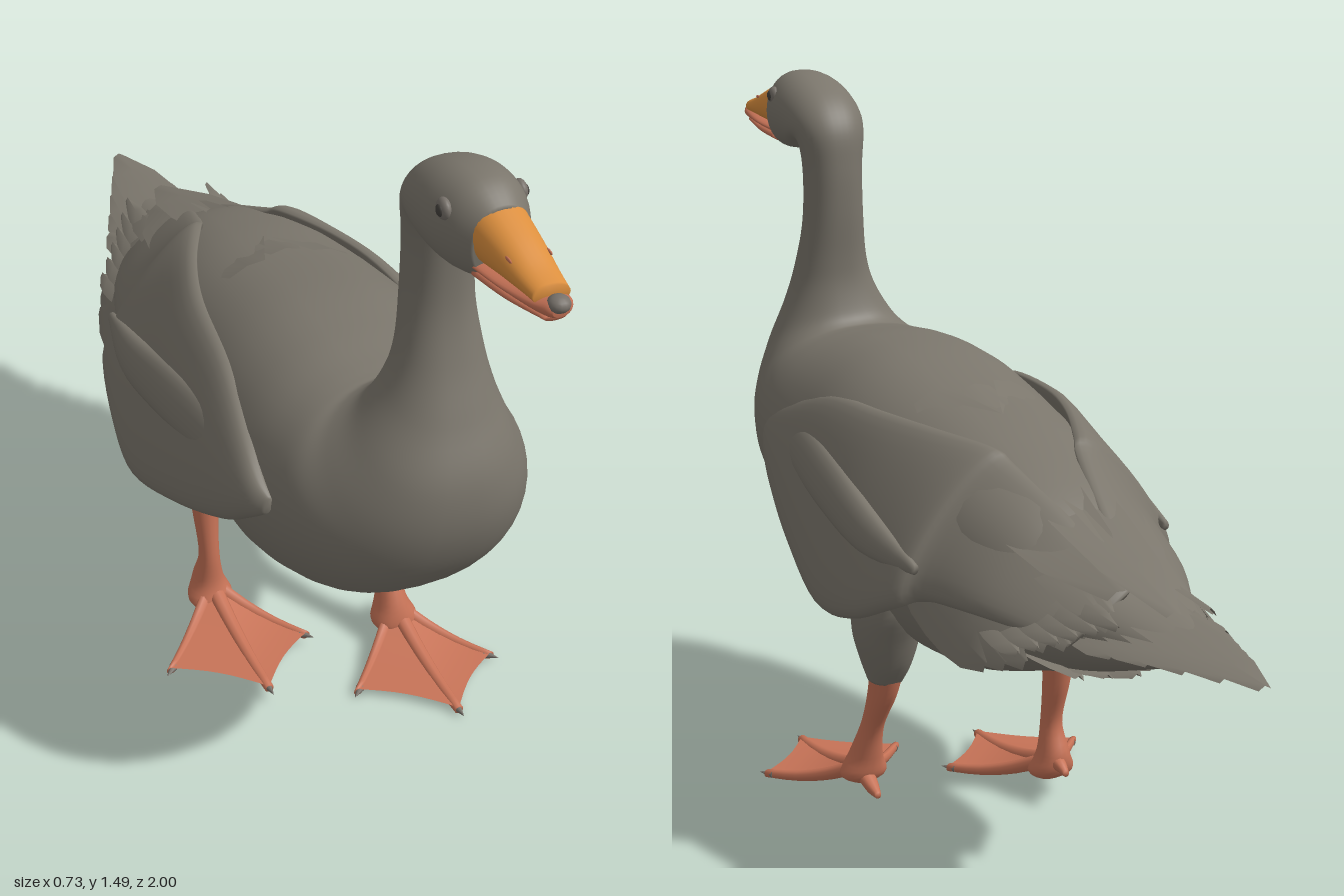
import * as THREE from 'three';

const mat = (name, color, side = THREE.FrontSide) => {
  const m = new THREE.MeshStandardMaterial({ color, side });
  m.name = name;
  return m;
};

const catmull = (a, b, c, d, t) =>
  0.5 * (2 * b + (c - a) * t + (2 * a - 5 * b + 4 * c - d) * t * t + (3 * b - a - 3 * c + d) * t * t * t);

function buildGeometry(pos, idx) {
  const g = new THREE.BufferGeometry();
  g.setAttribute('position', new THREE.Float32BufferAttribute(pos, 3));
  g.setIndex(idx);
  g.computeVertexNormals();
  return g;
}

// Smooth closed loft. Section: top xyz, bottom xyz, half width, inner half factor.
function loft(sections, { sides = 28, sub = 5, mirror = 1 } = {}) {
  const rows = [];
  const last = sections.length - 1;
  for (let i = 0; i < last; i++) {
    const [a, b, c, d] = [-1, 0, 1, 2].map(k => sections[Math.min(last, Math.max(0, i + k))]);
    for (let j = 0; j < sub; j++) rows.push(b.map((v, k) => catmull(a[k], v, c[k], d[k], j / sub)));
  }
  rows.push(sections[last]);
  const pos = [], idx = [];
  const tri = (a, b, c) => (mirror > 0 ? idx.push(a, b, c) : idx.push(a, c, b));
  for (const [xt, yt, zt, xb, yb, zb, w, inner] of rows) {
    const dx = xt - xb, dy = yt - yb, len = Math.hypot(dx, dy);
    const [sx, sy] = Math.abs(dx) < 1e-9 ? [1, 0] : [dy / len, -dx / len];
    for (let k = 0; k < sides; k++) {
      const a = (k / sides) * Math.PI * 2, c = Math.cos(a) / 2, sin = Math.sin(a);
      const s = Math.sign(sin) * Math.abs(sin) ** 0.86 * w * (sin < 0 ? inner : 1);
      pos.push(mirror * ((xt + xb) / 2 + dx * c + sx * s), (yt + yb) / 2 + dy * c + sy * s,
        (zt + zb) / 2 + (zt - zb) * c);
    }
  }
  const n = rows.length;
  for (let r = 0; r < n - 1; r++) for (let k = 0; k < sides; k++) {
    const a = r * sides + k, b = r * sides + (k + 1) % sides;
    tri(a, a + sides, b);
    tri(b, a + sides, b + sides);
  }
  for (const r of [0, n - 1]) {
    const [xt, yt, zt, xb, yb, zb] = rows[r], centre = pos.length / 3;
    pos.push(mirror * (xt + xb) / 2, (yt + yb) / 2, (zt + zb) / 2);
    for (let k = 0; k < sides; k++) {
      const a = r * sides + k, b = r * sides + (k + 1) % sides;
      r ? tri(centre, a, b) : tri(centre, b, a);
    }
  }
  // Caps wind outward: the first ring faces back, the last faces forward
  for (let i = idx.length - sides * 6; i < idx.length; i += 3) [idx[i + 1], idx[i + 2]] = [idx[i + 2], idx[i + 1]];
  return buildGeometry(pos, idx);
}

// Section helpers: profile slice, upright limb, forward-running toe
const slice = ([x, zt, yt, zb, yb, w]) => [x, yt, zt, x, yb, zb, w, 1];
const limb = ([x, y, z, rx, rz]) => [x, y, z - rz, x, y, z + rz, rx, 1];
const toeRing = ([x, y, z, r]) => [x, y + r, z, x, y - r, z, r, 1];

// Thin pointed plate from root to tip, spread along the "across" vector
function feather(root, tip, width, across) {
  const pos = [], idx = [], w = [0.4, 0.85, 1, 1, 0.8, 0.2];
  const A = new THREE.Vector3(...root), B = new THREE.Vector3(...tip);
  const side = new THREE.Vector3(...across).normalize();
  w.forEach((k, r) => {
    const p = A.clone().lerp(B, r / (w.length - 1));
    for (const s of [-1, 0, 1]) {
      const q = p.clone().addScaledVector(side, s * k * width / 2);
      pos.push(q.x, q.y + (s ? 0 : 0.008), q.z);
    }
    if (r) for (const s of [0, 1]) {
      const b = r * 3 + s, a = b - 3;
      idx.push(a, a + 1, b, a + 1, b + 1, b);
    }
  });
  return buildGeometry(pos, idx);
}

export function createModel() {
  const root = new THREE.Group();
  root.name = 'goose';
  const plumage = mat('greyPlumage', 0x7b766c);
  const vane = mat('featherGrey', 0x7b766c, THREE.DoubleSide);
  const orange = mat('billOrange', 0xdc8f3e);
  const skin = mat('legSalmon', 0xc77357, THREE.DoubleSide);
  const horn = mat('clawGrey', 0x77716a);
  const dark = mat('eyeDark', 0x45423e);
  const add = (name, geo, m, parent = root) => {
    const mesh = new THREE.Mesh(geo, m);
    mesh.name = name;
    parent.add(mesh);
    return mesh;
  };

  // Body, neck and head: x, back (z, y), belly (z, y), half width
  add('bodyNeckHead', loft([
    [-0.04, -0.85, 0.655, -0.85, 0.64, 0.03], [-0.02, -0.6, 0.7, -0.6, 0.54, 0.12],
    [0, -0.4, 0.82, -0.4, 0.47, 0.19], [0, -0.2, 0.89, -0.2, 0.4, 0.245],
    [0, 0, 0.93, 0, 0.385, 0.27], [0, 0.2, 0.965, 0.2, 0.425, 0.275],
    [0, 0.35, 0.97, 0.38, 0.435, 0.27], [0.01, 0.45, 0.96, 0.58, 0.515, 0.255],
    [0.015, 0.49, 0.955, 0.7, 0.62, 0.23], [0.025, 0.505, 0.957, 0.76, 0.74, 0.19],
    [0.035, 0.522, 0.98, 0.765, 0.86, 0.145], [0.045, 0.537, 1.04, 0.72, 0.97, 0.103],
    [0.05, 0.538, 1.1, 0.68, 1.07, 0.08], [0.05, 0.53, 1.2, 0.655, 1.17, 0.067],
    [0.05, 0.528, 1.3, 0.652, 1.285, 0.065], [0.05, 0.538, 1.385, 0.66, 1.342, 0.075],
    [0.05, 0.585, 1.445, 0.7, 1.322, 0.086], [0.052, 0.67, 1.483, 0.74, 1.315, 0.088],
    [0.056, 0.75, 1.487, 0.77, 1.315, 0.076], [0.06, 0.805, 1.455, 0.805, 1.325, 0.052],
  ].map(slice), { sides: 40, sub: 6 }), plumage);

  // Bill: orange upper half with a salmon rim, salmon lower half, grey nail
  add('upperBill', loft([
    [0.06, 0.79, 1.46, 0.79, 1.35, 0.055], [0.065, 0.86, 1.435, 0.86, 1.357, 0.046],
    [0.069, 0.92, 1.41, 0.92, 1.362, 0.038], [0.071, 0.96, 1.398, 0.96, 1.364, 0.033],
  ].map(slice)), orange);
  add('upperBillRim', loft([
    [0.06, 0.79, 1.362, 0.79, 1.342, 0.05], [0.066, 0.87, 1.366, 0.87, 1.347, 0.045],
    [0.071, 0.95, 1.378, 0.95, 1.352, 0.036], [0.073, 0.98, 1.384, 0.98, 1.352, 0.026],
    [0.073, 0.99, 1.375, 0.99, 1.356, 0.014],
  ].map(slice)), skin);
  add('lowerBill', loft([
    [0.06, 0.79, 1.35, 0.79, 1.322, 0.046], [0.066, 0.88, 1.352, 0.88, 1.329, 0.038],
    [0.072, 0.975, 1.355, 0.975, 1.342, 0.02],
  ].map(slice)), skin);
  const nail = add('billNail', new THREE.SphereGeometry(0.02, 14, 10), horn);
  nail.scale.set(1, 0.75, 1);
  nail.position.set(0.073, 1.376, 0.98);

  for (const s of [-1, 1]) {
    // Eyes: grey lid ball with a small dark pupil, head turned slightly to its left
    const eye = add('eye', new THREE.SphereGeometry(0.02, 16, 12), horn);
    eye.scale.x = 0.6;
    eye.position.set(0.055 + s * 0.071, 1.437, 0.735 - s * 0.005);
    const pupil = add('pupil', new THREE.SphereGeometry(0.011, 14, 10), dark);
    pupil.scale.x = 0.5;
    pupil.position.set(0.055 + s * 0.08, 1.437, 0.737 - s * 0.005);
    const nostril = add('nostril', new THREE.SphereGeometry(0.006, 10, 8), skin);
    nostril.scale.set(0.4, 0.6, 2);
    nostril.position.set(0.066 + s * 0.036, 1.412, 0.885);

    // Folded wing: upper edge, free lower edge, outward bulge
    const wing = new THREE.Group();
    wing.name = s > 0 ? 'leftWing' : 'rightWing';
    wing.position.x = s < 0 ? -0.015 : 0;
    root.add(wing);
    add('wingShell', loft([
      [0, 0.705, -0.62, 0.13, 0.62, -0.62, 0.015, 0.4], [0.02, 0.79, -0.45, 0.21, 0.63, -0.45, 0.035, 0.4],
      [0.06, 0.86, -0.29, 0.255, 0.615, -0.29, 0.045, 0.4], [0.08, 0.885, -0.24, 0.3, 0.59, -0.24, 0.05, 0.3],
      [0.14, 0.895, -0.1, 0.325, 0.525, -0.1, 0.045, 0.3], [0.18, 0.895, 0.05, 0.333, 0.505, 0.05, 0.045, 0.3],
      [0.2, 0.88, 0.25, 0.31, 0.57, 0.25, 0.04, 0.3], [0.222, 0.825, 0.42, 0.275, 0.645, 0.42, 0.036, 0.5],
      [0.23, 0.785, 0.5, 0.25, 0.7, 0.5, 0.026, 0.8], [0.225, 0.76, 0.535, 0.235, 0.73, 0.535, 0.008, 1],
    ], { sides: 32, mirror: s }), plumage, wing);

    // Shallow covert fold across the wing
    add('wingFold', loft([
      [0.27, 0.69, -0.28, 0.275, 0.67, -0.28, 0.008, 1], [0.272, 0.74, -0.1, 0.302, 0.66, -0.1, 0.022, 1],
      [0.262, 0.79, 0.1, 0.3, 0.69, 0.1, 0.024, 1], [0.245, 0.81, 0.28, 0.282, 0.72, 0.28, 0.022, 1],
      [0.235, 0.78, 0.44, 0.25, 0.74, 0.44, 0.012, 1],
    ], { sides: 18, mirror: s }), plumage, wing);

    // Flight feathers, stepping from the lower edge up to the back
    for (let i = 0; i < 10; i++) {
      const t = i / 9, jag = (i % 3) * 0.025;
      add('flightFeather', feather(
        [s * (0.26 - 0.19 * t), 0.64 + 0.21 * t, -0.2],
        [s * (0.235 - 0.17 * t), 0.555 + 0.13 * t, -0.5 - 0.16 * t - jag],
        0.1, [s * (0.35 + 0.6 * t), -0.8 + 0.45 * t, 0]), vane, wing);
    }
    // Ragged small feathers near the wing tips
    for (let i = 0; i < 6; i++) add('tipFeather', feather(
      [s * (0.2 - 0.02 * i), 0.62 + 0.015 * i, -0.4],
      [s * (0.205 - 0.023 * i), 0.6 + 0.017 * i, -0.57 - 0.032 * i], 0.05, [s, -0.5, 0]), vane, wing);
    // Long feathers laid over the back
    add('backFeather', feather([s * 0.09, 0.925, 0.02], [s * 0.05 - 0.01, 0.71, -0.64],
      0.2, [1, -s * 0.35, 0]), vane);
  }
  add('backFeather', feather([0, 0.935, 0], [-0.02, 0.695, -0.74], 0.16, [1, 0, 0]), vane);

  // Tail fan and feathers under the tail
  for (let i = 0; i < 9; i++) {
    const k = (i - 4) / 4, far = Math.abs(k);
    add('tailFeather', feather([-0.02 + k * 0.08, 0.675 - 0.03 * far, -0.48],
      [-0.04 + k * 0.12, 0.65 - 0.03 * far, -1 + 0.3 * far], 0.13 - 0.04 * far, [1, -k * 0.3, 0]), vane);
    if (i % 2 === 0) add('underTailFeather', feather([k * 0.11, 0.48 + 0.06 * far, -0.38],
      [-0.02 + k * 0.1, 0.53, -0.62 + 0.04 * far], 0.1, [1, k * 0.4, 0]), vane);
  }

  // Legs: thigh, shank, three webbed toes, hind toe and claws
  const leg = (name, thigh, shank, x, z, y, heel) => {
    const g = new THREE.Group();
    g.name = name;
    root.add(g);
    add('thigh', loft(thigh.map(limb), { sides: 18 }), plumage, g);
    add('shank', loft(shank.map(limb), { sides: 16 }), skin, g);
    const tips = [[-0.155, 0.17], [0.02, 0.3], [0.155, 0.17]];
    const drop = t => y + 0.06 * (1 - t) ** 2;
    for (const [dx, dz] of tips) {
      add('toe', loft([0, 0.33, 0.66, 1].map(t =>
        toeRing([x + dx * t, drop(t), z + dz * t, 0.019 - 0.009 * t])), { sides: 10, sub: 3 }), skin, g);
      const claw = add('claw', new THREE.ConeGeometry(0.01, 0.034, 8), horn, g);
      claw.position.set(x + dx * 1.02, y, z + dz * 1.02);
      claw.rotation.set(Math.PI / 2, Math.atan2(dx, dz), 0, 'YXZ');
    }
    add('hindToe', loft([[x, heel, z - 0.075, 0.007], [x, heel + 0.01, z - 0.04, 0.016],
      [x, y + 0.05, z + 0.01, 0.022]].map(toeRing), { sides: 10 }), skin, g);
    // Web with a gently scalloped front edge
    const pos = [], idx = [], n = 16, m = 6;
    for (let i = 0; i <= n; i++) {
      const u = (i / n) * 2, a = tips[u < 1 ? 0 : 1], b = tips[u < 1 ? 1 : 2], f = u < 1 ? u : u - 1;
      const pull = 1 - 0.05 * Math.sin(f * Math.PI);
      for (let j = 0; j <= m; j++) {
        const t = (j / m) * pull;
        pos.push(x + (a[0] + (b[0] - a[0]) * f) * t, drop(t) + 0.006, z + (a[1] + (b[1] - a[1]) * f) * t);
        if (i && j) {
          const q = i * (m + 1) + j, p = q - m - 1;
          idx.push(p - 1, p, q - 1, p, q, q - 1);
        }
      }
    }
    add('web', buildGeometry(pos, idx), skin, g);
  };
  leg('leftLeg',
    [[0.185, 0.31, 0.055, 0.036, 0.042], [0.19, 0.36, 0.04, 0.05, 0.068], [0.195, 0.43, 0.025, 0.066, 0.085], [0.2, 0.51, 0.01, 0.062, 0.1], [0.19, 0.6, 0, 0.04, 0.07]],
    [[0.19, 0.025, 0.175, 0.02, 0.02], [0.19, 0.05, 0.165, 0.052, 0.042], [0.187, 0.1, 0.152, 0.034, 0.042], [0.185, 0.18, 0.12, 0.022, 0.032], [0.185, 0.27, 0.07, 0.026, 0.043], [0.185, 0.34, 0.045, 0.034, 0.045]],
    0.195, 0.15, 0.012, 0.03);
  leg('rightLeg',
    [[-0.165, 0.32, -0.065, 0.036, 0.038], [-0.17, 0.37, -0.06, 0.05, 0.056], [-0.18, 0.43, -0.05, 0.066, 0.075], [-0.19, 0.51, -0.04, 0.062, 0.1], [-0.18, 0.6, -0.03, 0.04, 0.07]],
    [[-0.165, 0.04, -0.02, 0.02, 0.02], [-0.165, 0.065, -0.035, 0.05, 0.042], [-0.165, 0.11, -0.048, 0.034, 0.04], [-0.165, 0.18, -0.038, 0.022, 0.027], [-0.165, 0.27, -0.055, 0.026, 0.034], [-0.165, 0.34, -0.065, 0.034, 0.038]],
    -0.16, -0.04, 0.03, 0.085);
  return root;
}
